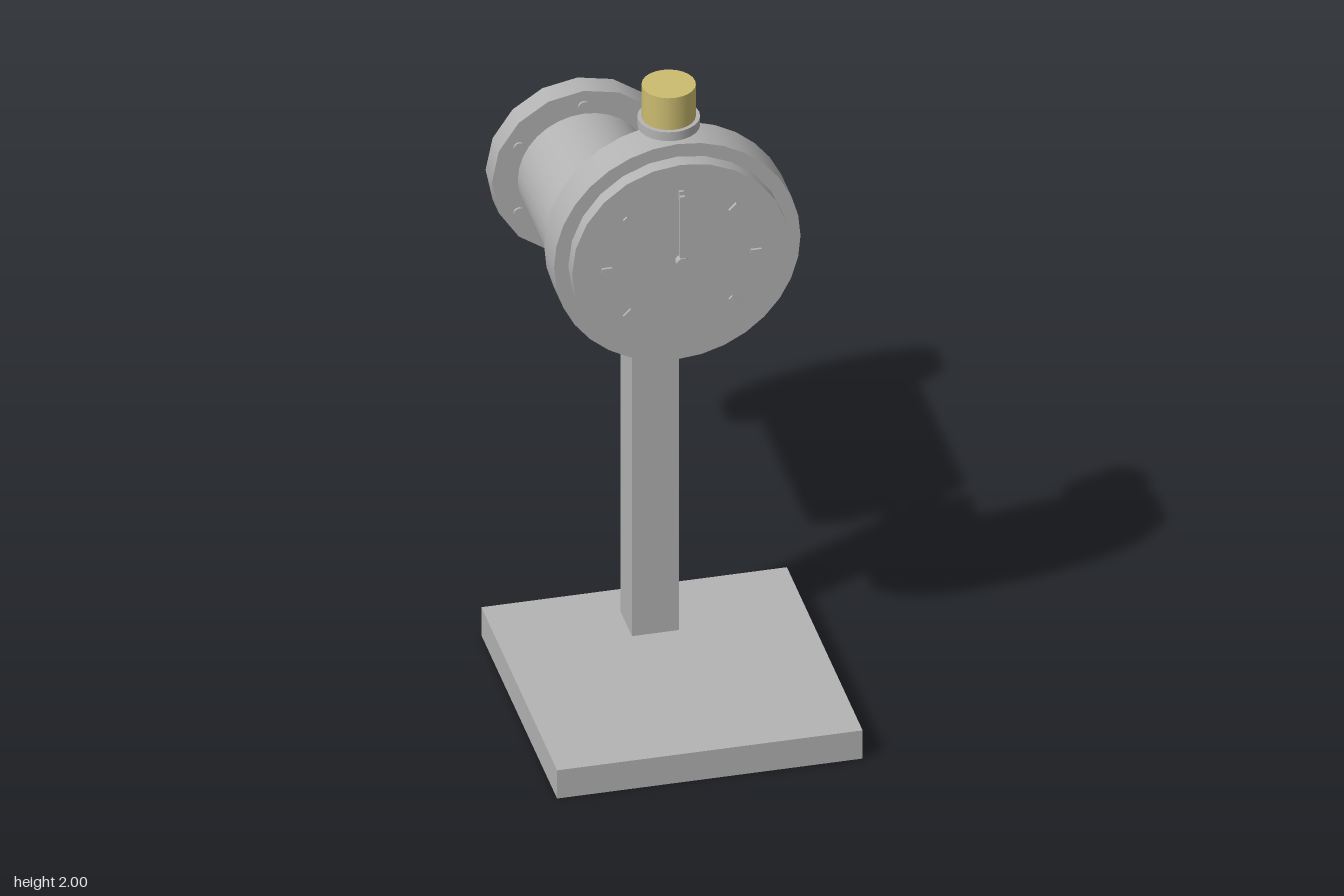
import * as THREE from 'three';

export function createModel() {
  const root = new THREE.Group();
  root.name = 'dialGaugeStand';
  const grey = new THREE.MeshStandardMaterial({ color: 0xb3b3b3 });
  grey.name = 'grey metal';
  const brass = new THREE.MeshStandardMaterial({ color: 0xcbbb70 });
  brass.name = 'brass';

  const add = (name, geo, x, y, z, mat = grey) => {
    const m = new THREE.Mesh(geo, mat);
    m.name = name;
    m.position.set(x, y, z);
    root.add(m);
    return m;
  };
  const box = (name, w, h, d, x, y, z) => add(name, new THREE.BoxGeometry(w, h, d), x, y, z);
  // upright cylinder between two heights
  const upright = (name, r, y0, y1, z, n, mat) =>
    add(name, new THREE.CylinderGeometry(r, r, y1 - y0, n), 0, (y0 + y1) / 2, z, mat);
  // cylinder lying along z between two depths
  const lying = (name, r, z0, z1, x, y, n) =>
    add(name, new THREE.CylinderGeometry(r, r, z1 - z0, n).rotateX(Math.PI / 2), x, y, (z0 + z1) / 2);

  // base plate and post
  box('base', 0.88, 0.093, 0.885, 0, 0.0465, 0.3335);
  box('post', 0.135, 1.239, 0.135, 0, 0.7115, 0.0725);

  // horizontal housing with bolted end flange
  const axisY = 1.108;
  lying('housing', 0.19, -0.7, -0.102, 0, axisY, 32);
  lying('flange', 0.265, -0.77, -0.697, 0, axisY, 16);
  for (let i = 0; i < 6; i++) {
    const a = Math.PI / 2 + (i * Math.PI) / 3;
    lying('flangeBolt', 0.017, -0.777, -0.69, Math.cos(a) * 0.215, axisY + Math.sin(a) * 0.215, 12);
  }

  // linkage from the housing up to the gauge
  lying('shaft', 0.024, -0.12, 0.22, 0, axisY, 12);
  upright('elbow', 0.034, 1.073, 1.143, 0.231, 12);
  upright('linkRod', 0.025, 1.13, 1.37, 0.231, 12);

  // dial body and face
  const dialY = 1.507;
  lying('gaugeBody', 0.355, 0.28, 0.395, 0, dialY, 32);
  lying('gaugeFace', 0.314, 0.39, 0.44, 0, dialY, 24);

  // seven dial marks, with a gap at the bottom
  for (let i = 0; i < 7; i++) {
    const a = -Math.PI / 4 + (i * Math.PI) / 4;
    const tick = box('dialMark', 0.03, 0.014, 0.012,
      Math.cos(a) * 0.215, dialY + Math.sin(a) * 0.215, 0.442);
    tick.rotation.z = a;
  }

  // needle on its hub
  box('needle', 0.014, 0.218, 0.012, 0, dialY + 0.109, 0.452);
  lying('needleHub', 0.018, 0.435, 0.462, 0, dialY, 12);

  // top collar and knob
  upright('knobCollar', 0.088, 1.866, 1.895, 0.295, 24);
  upright('knob', 0.076, 1.89, 2, 0.295, 24, brass);

  return root;
}
